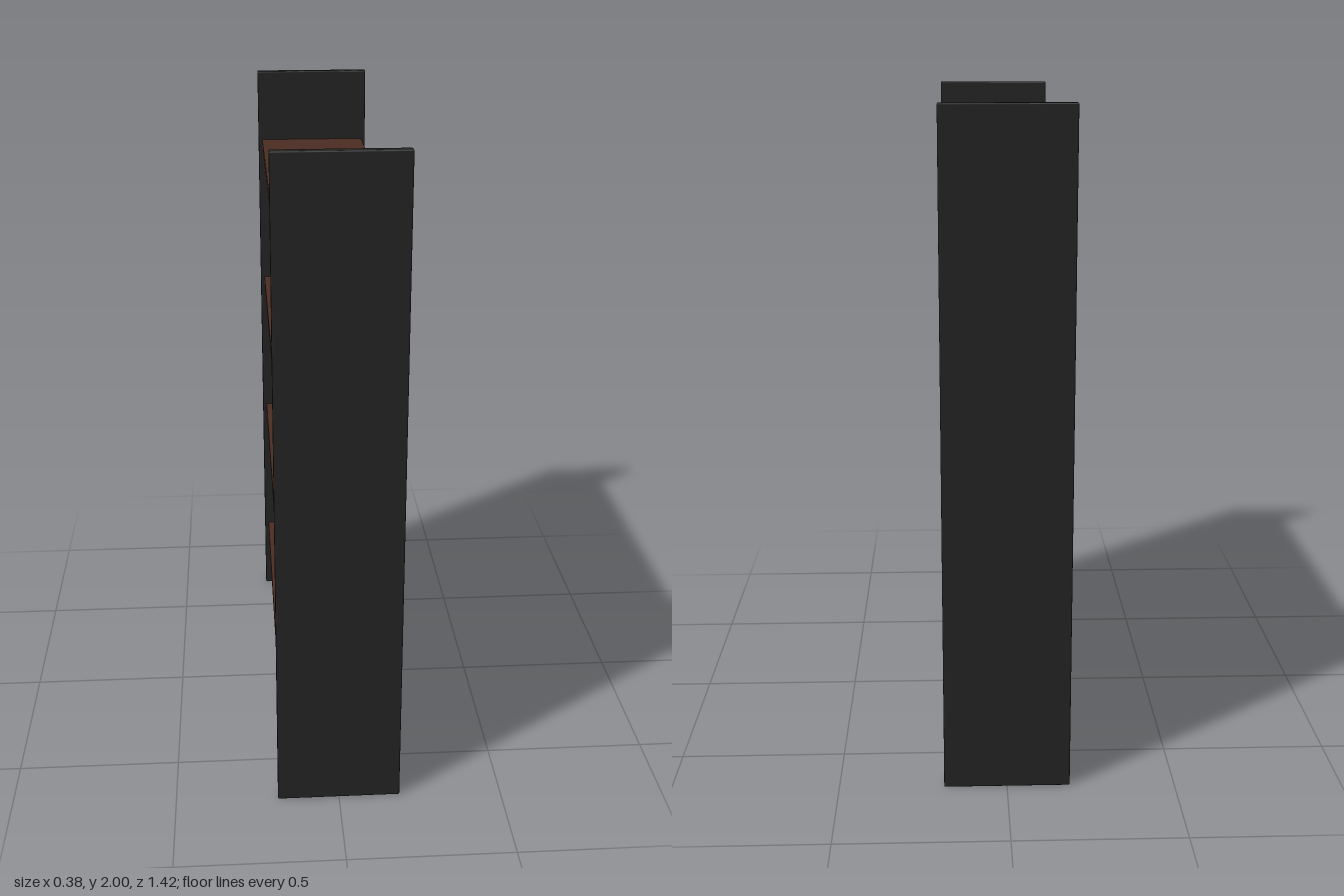
import * as THREE from 'three';
import { RoundedBoxGeometry } from 'three/addons/geometries/RoundedBoxGeometry.js';

const HEIGHT = 2;
const BOARD = 0.03; // thickness of every board
const PANEL_Z = 0.693; // centre of each end panel
const SHELF_HEIGHTS = [0.25, 0.75, 1.25, 1.75];

export function createModel() {
  const group = new THREE.Group();
  group.name = 'shelfUnit';

  const blackPaint = new THREE.MeshStandardMaterial({ color: 0x222222 });
  blackPaint.name = 'blackPaint';
  const darkWood = new THREE.MeshStandardMaterial({ color: 0x4a2c22 });
  darkWood.name = 'darkWood';

  // Board with slightly eased edges
  const addBoard = (name, size, y, z, material) => {
    const board = new THREE.Mesh(new RoundedBoxGeometry(...size, 2, 0.004), material);
    board.name = name;
    board.position.set(0, y, z);
    group.add(board);
  };

  // Upright end panels, front and back
  for (const [name, side] of [['frontPanel', 1], ['backPanel', -1]]) {
    addBoard(name, [0.375, HEIGHT, BOARD], HEIGHT / 2, side * PANEL_Z, blackPaint);
  }

  // Shelves spanning between the panels
  const span = 2 * PANEL_Z - BOARD;
  SHELF_HEIGHTS.forEach((y, i) => addBoard(`shelf${i + 1}`, [0.35, BOARD, span], y, 0, darkWood));

  return group;
}
